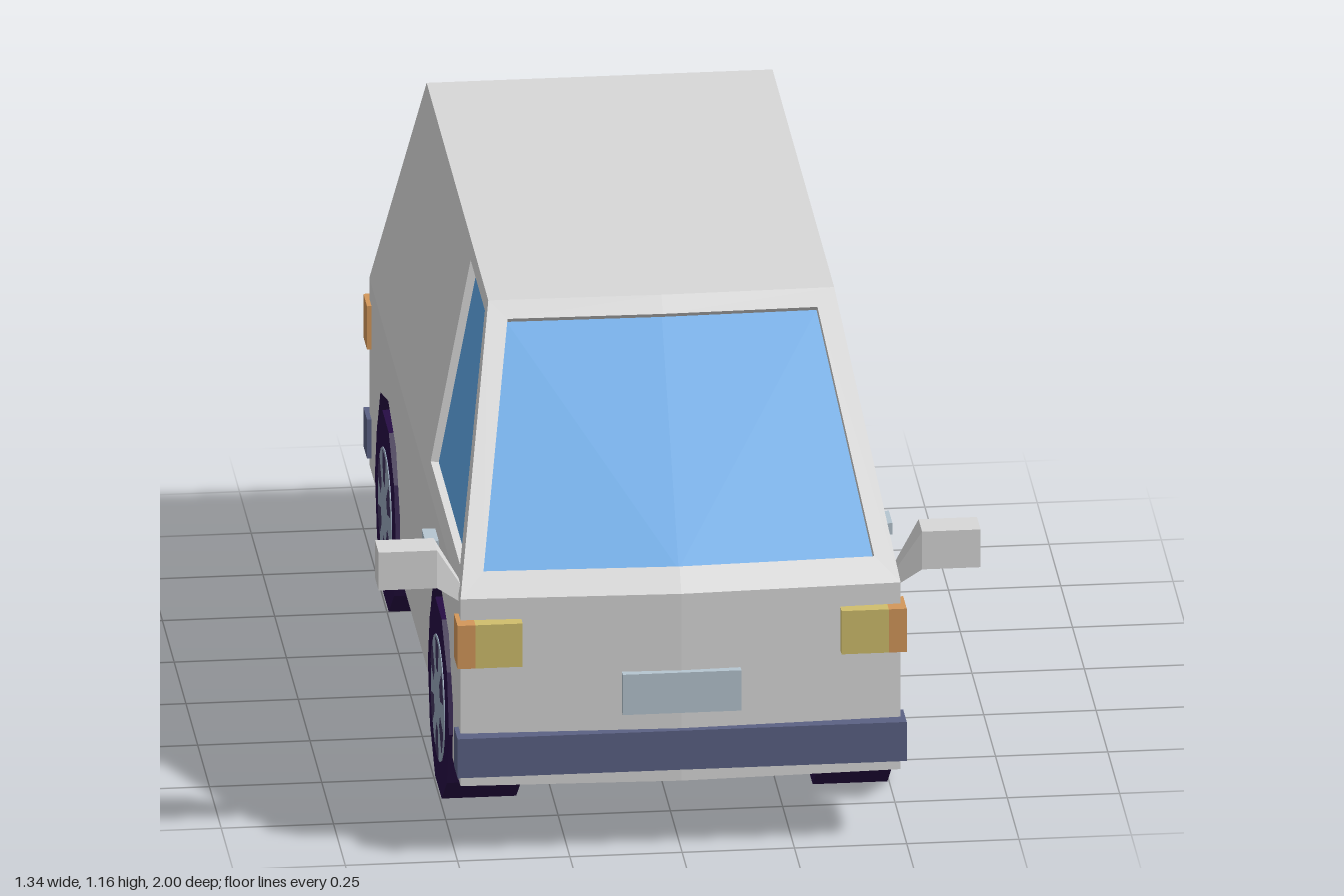
import * as THREE from 'three';
import { ConvexGeometry } from 'three/addons/geometries/ConvexGeometry.js';

const paint = (color, side = THREE.FrontSide) => new THREE.MeshStandardMaterial({ color, side });

export function createModel() {
  const D = THREE.DoubleSide;
  const mats = {
    body: paint(0xd8d8d8, D), glass: paint(0x5fa8e8, D), tyre: paint(0x260d44, D),
    rim: paint(0x95a5b9), rimGap: paint(0x3f335c, D), bumper: paint(0x5b6184),
    metal: paint(0xb5c5d0), yellow: paint(0xd0be6c), orange: paint(0xd3975a), red: paint(0xb23338),
  };
  for (const [name, m] of Object.entries(mats)) m.name = name;

  const model = new THREE.Group();
  model.name = 'van';
  const add = (name, geo, mat, parent = model) => {
    const mesh = new THREE.Mesh(geo, mat);
    mesh.name = name;
    parent.add(mesh);
    return mesh;
  };
  const box = (name, mat, x0, x1, y0, y1, z0, z1) =>
    add(name, new THREE.BoxGeometry(Math.abs(x1 - x0), y1 - y0, Math.abs(z1 - z0)), mat)
      .position.set((x0 + x1) / 2, (y0 + y1) / 2, (z0 + z1) / 2);

  // Flat-faced surface from polygon loops, each split as a fan
  const faces = (loops) => {
    const pos = [];
    for (const l of loops)
      for (let i = 1; i < l.length - 1; i++) pos.push(...l[0], ...l[i], ...l[i + 1]);
    const g = new THREE.BufferGeometry();
    g.setAttribute('position', new THREE.Float32BufferAttribute(pos, 3));
    g.computeVertexNormals();
    return g;
  };
  // Quads joining two loops with the same number of points
  const strip = (a, b) => a.map((p, i) => {
    const j = (i + 1) % a.length;
    return [p, a[j], b[j], b[i]];
  });
  // Frame around an opening, with the glass set back inside it
  const windowPanel = (name, outer, hole, inset) => {
    const back = hole.map((p) => p.map((v, k) => v + inset[k]));
    add(name + 'Frame', faces([...strip(outer, hole), ...strip(hole, back)]), mats.body);
    add(name + 'Glass', faces([back]), mats.glass);
  };
  // Flat outline moved into place by a rule
  const sheet = (name, pts, place) => {
    const g = new THREE.ShapeGeometry(new THREE.Shape(pts.map((p) => new THREE.Vector2(...p))));
    const p = g.attributes.position;
    for (let i = 0; i < p.count; i++) p.setXYZ(i, ...place(p.getX(i), p.getY(i)));
    g.computeVertexNormals();
    add(name, g, mats.body);
  };

  const W = 0.49, T = 0.385, Y0 = 0.165, Y1 = 0.61, Y2 = 1.155;
  const F = 0.967, FM = 0.985, R = -0.97, TF = 0.555, TR = -0.755;
  const axles = [-0.57, 0.555];
  const arch = [[-0.245, Y0], [-0.25, 0.295], [-0.165, 0.43], [0, 0.475], [0.165, 0.43], [0.25, 0.295], [0.245, Y0]];
  const wellX = 0.2;

  // Lower body: nose, tail, floor with wheel notches, sides with arches
  add('nose', faces([
    [[-W, Y0, F], [0, Y0, FM], [0, Y1, FM], [-W, Y1, F]],
    [[0, Y0, FM], [W, Y0, F], [W, Y1, F], [0, Y1, FM]],
  ]), mats.body);
  add('tail', faces([[[W, Y0, R], [-W, Y0, R], [-W, Y1, R], [W, Y1, R]]]), mats.body);
  const notches = (s) => axles.flatMap((z) =>
    [[s * W, z - 0.245], [s * wellX, z - 0.245], [s * wellX, z + 0.245], [s * W, z + 0.245]]);
  sheet('floor', [[-W, R], ...notches(-1), [-W, F], [0, FM], [W, F], ...notches(1).reverse(), [W, R]],
    (x, z) => [x, Y0, z]);

  // Roof, windscreen and rear window
  add('roof', faces([[[-T, Y2, TF], [0, Y2, TF + 0.006], [T, Y2, TF], [T, Y2, TR], [-T, Y2, TR]]]), mats.body);
  windowPanel('windscreen',
    [[0, Y1, FM], [W, Y1, F], [T, Y2, TF], [0, Y2, TF + 0.006], [-T, Y2, TF], [-W, Y1, F]],
    [[0, 0.66, 0.946], [0.435, 0.66, 0.93], [0.345, 1.12, 0.582], [0, 1.12, 0.588], [-0.345, 1.12, 0.582], [-0.435, 0.66, 0.93]],
    [0, -0.015, -0.02]);
  windowPanel('rearWindow',
    [[W, Y1, R], [-W, Y1, R], [-T, Y2, TR], [T, Y2, TR]],
    [[0.43, 0.66, -0.95], [-0.43, 0.66, -0.95], [-0.35, 1.115, -0.771], [0.35, 1.115, -0.771]],
    [0, -0.008, 0.02]);

  for (const s of [1, -1]) {
    const side = s > 0 ? 'left' : 'right';
    sheet(side + 'LowerSide',
      [[R, Y0], ...axles.flatMap((z) => arch.map(([a, y]) => [z + a, y])), [F, Y0], [F, Y1], [R, Y1]],
      (z, y) => [s * W, y, z]);

    // Upper side leans inwards; its window lies in the same plane
    const on = (z, y) => [s * (W - (W - T) * (y - Y1) / (Y2 - Y1)), y, z];
    windowPanel(side + 'SideWindow',
      [on(F, Y1), on(R, Y1), on(TR, Y2), on(TF, Y2)],
      [on(0.875, 0.655), on(0.25, 0.655), on(0.235, 1.125), on(0.538, 1.125)],
      [-s * 0.018, -0.003, 0]);

    // Wheels and wheel wells
    axles.forEach((z, n) => {
      const wheel = new THREE.Group();
      wheel.name = side + (n ? 'Front' : 'Rear') + 'Wheel';
      model.add(wheel);
      const rail = (x) => arch.map(([a, y]) => [s * x, y, z + a]);
      add('wheelWell', faces([...strip(rail(W), rail(wellX)).slice(0, -1), rail(wellX)]), mats.tyre, wheel);
      const tyre = new THREE.CylinderGeometry(0.224, 0.224, 0.166, 10).rotateZ(Math.PI / 2).toNonIndexed();
      tyre.computeVertexNormals();
      add('tyre', tyre, mats.tyre, wheel).position.set(s * 0.413, 0.213, z);
      const rim = new THREE.CylinderGeometry(0.143, 0.143, 0.008, 20).rotateZ(Math.PI / 2);
      add('rim', rim, mats.rim, wheel).position.set(s * 0.494, 0.213, z);
      for (let k = 0; k < 6; k++) {
        const gap = new THREE.RingGeometry(0.066, 0.137, 4, 1, Math.PI / 2 + k * Math.PI / 3 - 0.27, 0.54);
        add('rimGap', gap.rotateY(s * Math.PI / 2), mats.rimGap, wheel).position.set(s * 0.4995, 0.213, z);
      }
    });

    // Lamps, front and rear
    for (const [end, d, mat] of [['Head', 1, mats.yellow], ['Tail', -1, mats.red]]) {
      box(side + end + 'Lamp', mat, s * 0.355, s * 0.46, 0.457, 0.56, d * 0.925, d);
      box(side + end + 'Indicator', mats.orange, s * 0.46, s * 0.5, 0.457, 0.56, d * 0.925, d);
    }

    // Door handle
    box(side + 'DoorHandle', mats.metal, s * 0.48, s * 0.52, 0.54, 0.567, 0.43, 0.505);

    // Mirror with tapering arm
    const arm = [];
    for (const [x, y0, y1, z0, z1] of [[0.483, 0.585, 0.625, 0.89, 0.925], [0.54, 0.63, 0.72, 0.87, 0.945]])
      for (const y of [y0, y1]) for (const z of [z0, z1]) arm.push(new THREE.Vector3(s * x, y, z));
    add(side + 'MirrorArm', new ConvexGeometry(arm), mats.body);
    box(side + 'MirrorHousing', mats.body, s * 0.54, s * 0.67, 0.63, 0.72, 0.87, 0.945);
    box(side + 'MirrorGlass', mats.glass, s * 0.553, s * 0.657, 0.642, 0.708, 0.866, 0.872);
  }

  // Bumpers and blank plates
  for (const [end, d] of [['front', 1], ['rear', -1]]) {
    box(end + 'Bumper', mats.bumper, -0.5, 0.5, 0.197, 0.29, d * 0.925, d);
    box(end + 'Plate', mats.metal, -0.132, 0.132, 0.332, 0.428, d * 0.96, d * 0.999);
  }
  return model;
}
